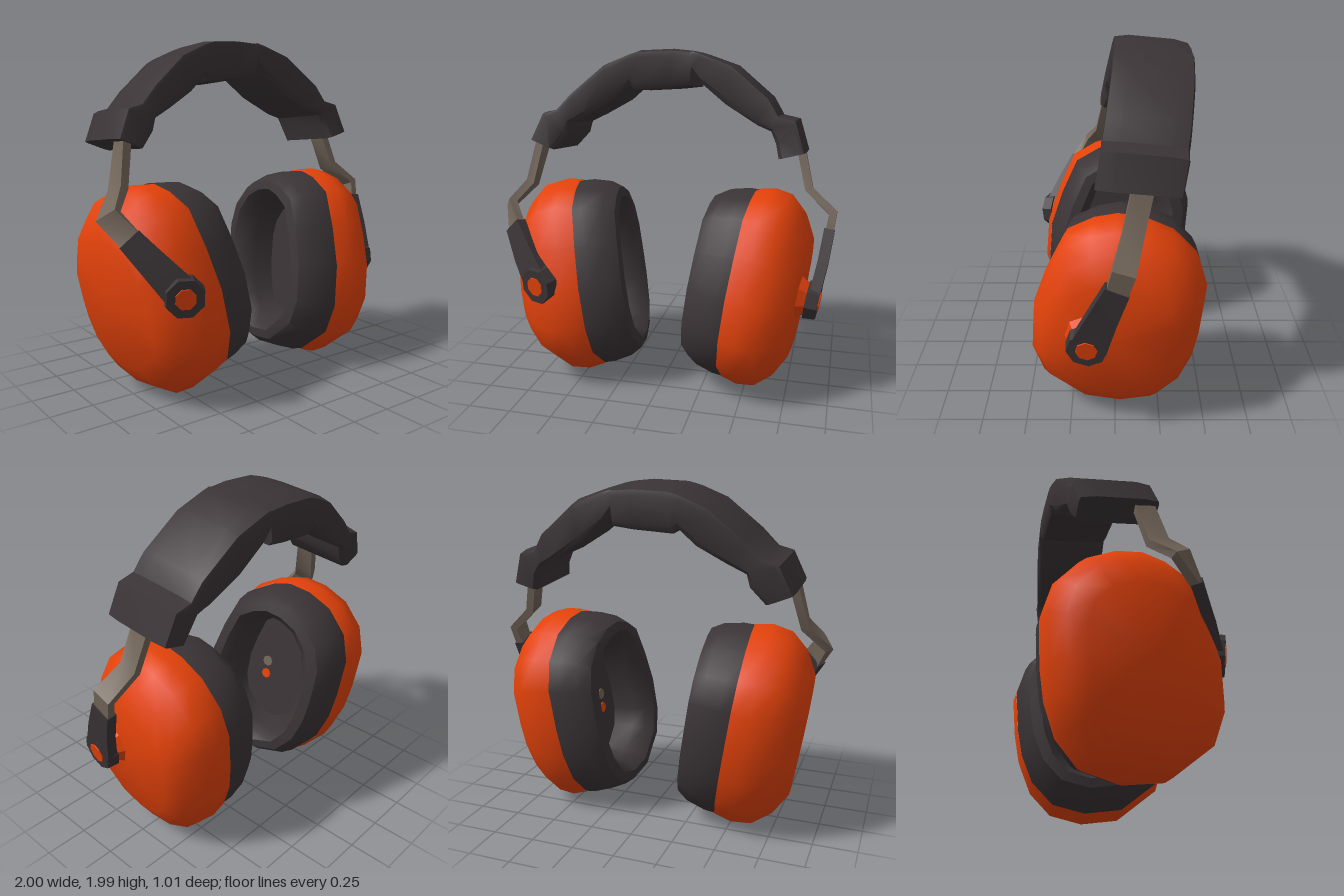
import * as THREE from 'three';
import { toCreasedNormals } from 'three/addons/utils/BufferGeometryUtils.js';

const V = (x, y, z) => new THREE.Vector3(x, y, z);

function flatColour(name, hex) {
  const m = new THREE.MeshStandardMaterial({ color: hex });
  m.name = name;
  return m;
}

// Skin over rings that run counter-clockwise about the direction of travel
function loft(rings, crease, caps = true) {
  const all = rings.slice();
  const n = rings[0].length;
  const pole = (ring) => {
    const c = V(0, 0, 0);
    ring.forEach((p) => c.addScaledVector(p, 1 / n));
    return ring.map(() => c);
  };
  if (caps) {
    all.unshift(pole(rings[0]));
    all.push(pole(rings[rings.length - 1]));
  }
  const pos = [];
  const tri = (a, b, c) => {
    const area = b.clone().sub(a).cross(c.clone().sub(a)).length();
    if (area > 1e-9) [a, b, c].forEach((p) => pos.push(p.x, p.y, p.z));
  };
  for (let r = 0; r < all.length - 1; r++) {
    for (let j = 0; j < n; j++) {
      const k = (j + 1) % n;
      tri(all[r][j], all[r][k], all[r + 1][j]);
      tri(all[r][k], all[r + 1][k], all[r + 1][j]);
    }
  }
  const g = new THREE.BufferGeometry();
  g.setAttribute('position', new THREE.Float32BufferAttribute(pos, 3));
  return toCreasedNormals(g, crease);
}

// Flat strap along a path: each station is [centre, width direction, half width]
function strap(stations, halfThick) {
  const rings = stations.map(([c, dir, hw], i) => {
    const d = stations[Math.min(i + 1, stations.length - 1)][0].clone()
      .sub(stations[Math.max(i - 1, 0)][0]).normalize();
    const w = dir.clone().addScaledVector(d, -dir.dot(d)).normalize();
    const t = d.clone().cross(w).multiplyScalar(halfThick);
    w.multiplyScalar(hw);
    return [[1, 1], [-1, 1], [-1, -1], [1, -1]].map(([a, b]) =>
      c.clone().addScaledVector(w, a).addScaledVector(t, b));
  });
  return loft(rings, 0.6);
}

// Cup outline as [z, y] about its centre, from the top round by the front
const OUTLINE = [[0, 0.6], [0.13, 0.57], [0.28, 0.49], [0.38, 0.28], [0.46, 0.05], [0.48, -0.2],
  [0.42, -0.38], [0.19, -0.56], [-0.04, -0.59], [-0.24, -0.54], [-0.37, -0.4], [-0.44, -0.22],
  [-0.47, -0.05], [-0.49, 0.2], [-0.44, 0.37], [-0.31, 0.51], [-0.15, 0.58]];

// Rings as [distance outward from the seam, height scale, depth scale]
const SHELL = [[0, 0.965, 0.965], [0.1, 1, 1], [0.21, 0.97, 0.97], [0.31, 0.82, 0.85], [0.38, 0.6, 0.68], [0.39, 0, 0]];
const CUSHION = [[0, 0, 0], [0, 0.6, 0.48], [-0.12, 0.64, 0.52], [-0.2, 0.68, 0.57],
  [-0.245, 0.75, 0.68], [-0.235, 0.84, 0.82], [-0.17, 0.91, 0.91], [-0.06, 0.955, 0.96], [0.02, 0.96, 0.96]];

// Headband stations: outer x, y then inner x, y
const BAND = [[-0.85, 1.44, -0.7, 1.38], [-0.78, 1.6, -0.62, 1.47], [-0.69, 1.62, -0.6, 1.54],
  [-0.6, 1.72, -0.5, 1.59], [-0.4, 1.89, -0.34, 1.68], [-0.25, 1.95, -0.24, 1.77], [-0.19, 1.97, -0.22, 1.74],
  [0.01, 1.98, 0, 1.755], [0.12, 1.97, 0.12, 1.77], [0.135, 1.968, 0.13, 1.86], [0.18, 1.96, 0.18, 1.79],
  [0.36, 1.9, 0.33, 1.67], [0.58, 1.72, 0.52, 1.56], [0.64, 1.62, 0.6, 1.53], [0.74, 1.6, 0.63, 1.46],
  [0.8, 1.42, 0.65, 1.38]];
const BAND_SECTION = [[-0.6, 1], [0.6, 1], [0.97, 0.93], [1, 0.8], [1, 0.15], [0.9, 0],
  [-0.9, 0], [-1, 0.15], [-1, 0.8], [-0.97, 0.93]];

export function createModel() {
  const orange = flatColour('orange shell', 0xe4420a);
  const dark = flatColour('dark padding', 0x3b3436);
  const metal = flatColour('dull metal', 0x73665a);
  const model = new THREE.Group();
  model.name = 'earDefenders';

  const add = (parent, name, geometry, material) => {
    const m = new THREE.Mesh(geometry, material);
    m.name = name;
    parent.add(m);
    return m;
  };
  // Round part centred at c with its axis along the given direction
  const disc = (parent, name, c, axis, rOut, rIn, h, sides, material) => {
    const g = new THREE.CylinderGeometry(rOut, rIn, h, sides).toNonIndexed();
    g.computeVertexNormals();
    const m = add(parent, name, g, material);
    m.position.copy(c);
    m.quaternion.setFromUnitVectors(V(0, 1, 0), axis.clone().normalize());
  };

  // Headband, leaning back towards the top
  const bandRings = BAND.map(([xo, yo, xi, yi]) => {
    const zc = -0.115 - 0.165 * (yo - 1.42);
    return BAND_SECTION.map(([u, v]) =>
      V(xi + (xo - xi) * v, yi + (yo - yi) * v + 0.02 * u, zc + 0.217 * u));
  });
  add(model, 'headband', loft(bandRings, 0.7), dark);

  const sides = [
    { // left
      name: 'left', s: 1, x0: 0.447, ky: 0.12, kz: -0.08, depth: 0.94,
      wire: [[V(0.755, 1.455, -0.14), V(0, 0.25, 1), 0.055], [V(0.82, 1.2, -0.085), V(0, 0.28, 1), 0.055],
        [V(0.965, 1.075, -0.04), V(0, 0.3, 1), 0.06], [V(0.945, 0.93, -0.0), V(0, 0.3, 1), 0.055]],
      arm: [[V(0.95, 0.98, -0.01), V(0, 0.33, 1), 0.065], [V(0.925, 0.8, 0.065), V(0, 0.35, 1), 0.08],
        [V(0.885, 0.6, 0.14), V(0, 0.35, 1), 0.1]],
      pivot: V(0.882, 0.6, 0.145), axis: V(1, -0.15, 0.08),
    },
    { // right, with the arm swung forward
      name: 'right', s: -1, x0: 0.482, ky: 0.165, kz: -0.12, depth: 1.02,
      wire: [[V(-0.785, 1.455, 0.02), V(0, 0.2, 1), 0.055], [V(-0.85, 1.19, 0.075), V(0.15, 0.28, 1), 0.06],
        [V(-0.955, 1.07, 0.16), V(0.45, 0.3, 0.8), 0.065], [V(-0.87, 0.93, 0.28), V(0.75, 0.45, 0.4), 0.06]],
      arm: [[V(-0.89, 0.96, 0.26), V(0.75, 0.5, 0.35), 0.065], [V(-0.785, 0.81, 0.355), V(0.8, 0.5, 0.3), 0.08],
        [V(-0.68, 0.67, 0.43), V(0.8, 0.5, 0.3), 0.095]],
      pivot: V(-0.675, 0.66, 0.435), axis: V(-0.37, -0.1, 0.93),
    },
  ];

  for (const { name, s, x0, ky, kz, depth, wire, arm, pivot, axis } of sides) {
    const cup = new THREE.Group();
    cup.name = name + 'EarCup';
    model.add(cup);

    // Point on the tilted cup at distance a outward, y and z about its centre
    const place = (a, y, z) => V(s * (x0 + a + ky * y + kz * z), 0.61 + y - ky * a, z - kz * a - 0.015);
    const ringsOf = (profile, k) => profile.map(([a, sy, sz]) => {
      const ring = OUTLINE.map(([z, y]) => place(a * k, y * sy, z * sz));
      return s > 0 ? ring : ring.reverse();
    });
    add(cup, 'shell', loft(ringsOf(SHELL, depth), 1.1, false), orange);
    add(cup, 'cushion', loft(ringsOf(CUSHION, 1), 0.8, false), dark);

    // Rivet ends on the floor of the cushion
    const outward = V(s, -ky, -kz);
    disc(cup, 'rivetEnd', place(-0.003, 0.02, 0.08), outward, 0.035, 0.035, 0.009, 8, metal);
    disc(cup, 'rivetTip', place(-0.003, -0.07, 0.08), outward, 0.033, 0.033, 0.009, 8, orange);

    // Wire, arm and pivot
    const hanger = new THREE.Group();
    hanger.name = name + 'Hanger';
    model.add(hanger);
    add(hanger, 'wire', strap(wire, 0.024), metal);
    add(hanger, 'arm', strap(arm, 0.03), dark);
    const along = (d) => pivot.clone().addScaledVector(axis.clone().normalize(), d);
    disc(hanger, 'pivotBoss', along(-0.075), axis, 0.09, 0.16, 0.1, 8, orange);
    disc(hanger, 'pivotDisc', pivot, axis, 0.108, 0.118, 0.07, 8, dark);
    disc(hanger, 'pivotCap', along(0.034), axis, 0.058, 0.06, 0.014, 8, orange);
  }
  return model;
}
